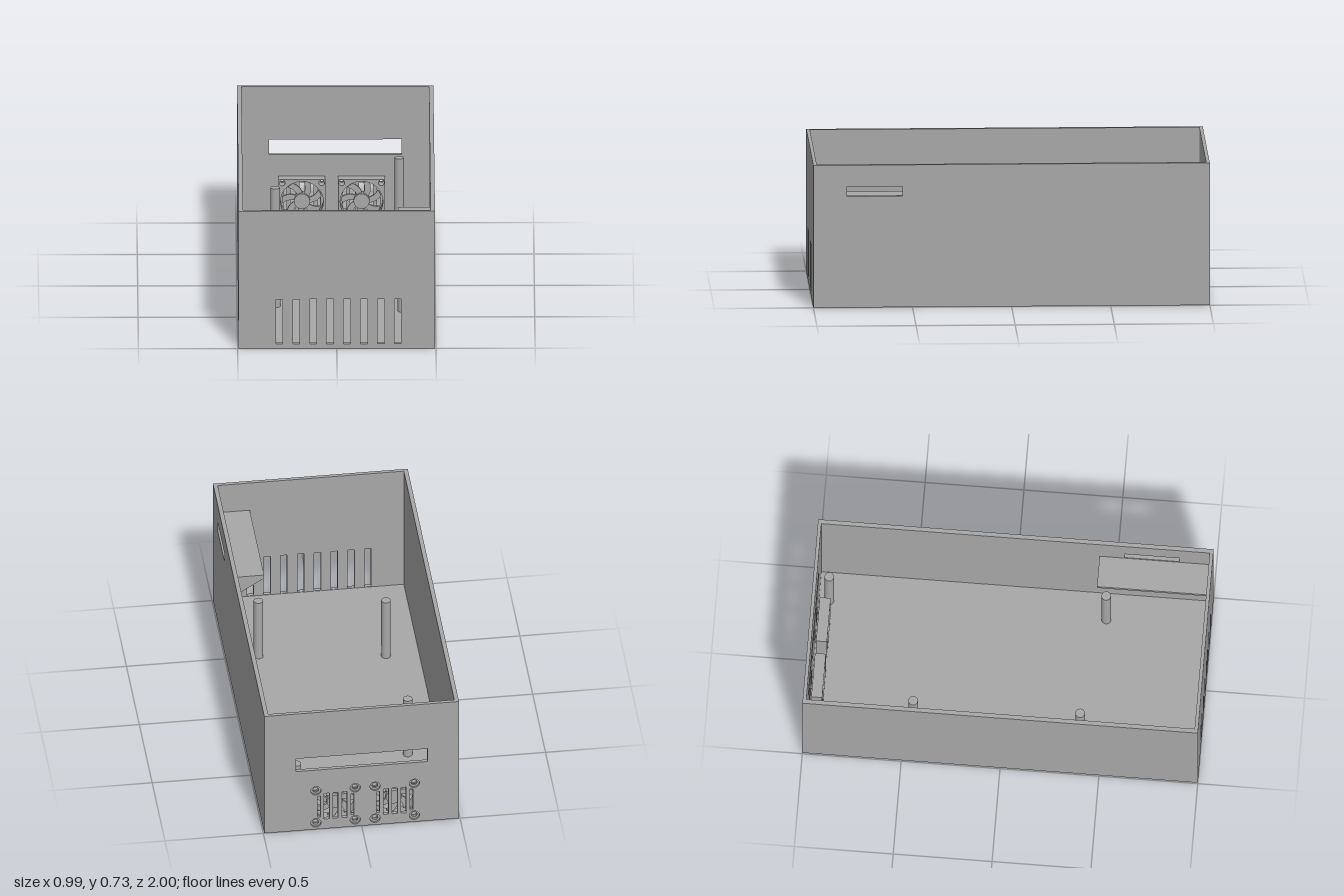
import * as THREE from 'three';

const W = 0.495, L = 1, H = 0.73;        // half width, half length, height
const SIDE = 0.022, END = 0.018, FLOOR = 0.0225;
const FAN_Y = 0.14, FAN_X = [-0.168, 0.1325], FAN_HALF = 0.1175, SCREW = 0.1;

function rect(Type, x0, x1, y0, y1) {
  const s = new Type();
  s.moveTo(x0, y0);
  s.lineTo(x1, y0);
  s.lineTo(x1, y1);
  s.lineTo(x0, y1);
  s.closePath();
  return s;
}
const slot = (x0, x1, y0, y1) => rect(THREE.Path, x0, x1, y0, y1);
const hole = (x, y, r) => new THREE.Path().absarc(x, y, r, 0, Math.PI * 2, true);

function plate(shape, holes, depth) {
  shape.holes.push(...holes);
  return new THREE.ExtrudeGeometry(shape, { depth, bevelEnabled: false, curveSegments: 16 });
}

export function createModel() {
  const model = new THREE.Group();
  const grey = new THREE.MeshStandardMaterial({ color: 0xa8a8a8 });
  grey.name = 'grey plastic';

  function add(name, geometry, x = 0, y = 0, z = 0, parent = model) {
    const mesh = new THREE.Mesh(geometry, grey);
    mesh.name = name;
    mesh.position.set(x, y, z);
    parent.add(mesh);
    return mesh;
  }

  // Floor between the walls
  add('floor', new THREE.BoxGeometry(2 * (W - SIDE), FLOOR, 2 * (L - END)), 0, FLOOR / 2, 0);

  // Side walls run the full length; the left one has a port slot
  const portSlot = slot(0.55, 0.83, 0.57, 0.62);
  const left = add('leftWall', plate(rect(THREE.Shape, -L, L, 0, H), [portSlot], SIDE), W);
  const right = add('rightWall', plate(rect(THREE.Shape, -L, L, 0, H), [], SIDE), -W + SIDE);
  left.rotation.y = right.rotation.y = -Math.PI / 2;

  // Front wall with eight air slots
  const inner = W - SIDE;
  const vents = [];
  for (let i = 0; i < 8; i++) {
    const x = -0.29 + i * 0.0854;
    vents.push(slot(x - 0.017, x + 0.017, 0.025, 0.262));
  }
  add('frontWall', plate(rect(THREE.Shape, -inner, inner, 0, H), vents, END), 0, 0, L - END);

  // Back wall in two layers, so the screw holes are counterbored outside
  function backHoles(screwRadius) {
    const holes = [slot(-0.335, 0.335, 0.37, 0.45)];
    for (const cx of FAN_X) {
      for (const [dx, w, h] of [[-0.085, 0.015, 0.13], [-0.045, 0.026, 0.16], [0, 0.026, 0.16],
        [0.045, 0.026, 0.16], [0.085, 0.015, 0.13]]) {
        holes.push(slot(cx + dx - w / 2, cx + dx + w / 2, FAN_Y - h / 2, FAN_Y + h / 2));
      }
      for (const sx of [-1, 1]) for (const sy of [-1, 1]) {
        holes.push(hole(cx + sx * SCREW, FAN_Y + sy * SCREW, screwRadius));
      }
    }
    return holes;
  }
  const layer = END / 2;
  add('backWallOuter', plate(rect(THREE.Shape, -inner, inner, 0, H), backHoles(0.026), layer), 0, 0, -L);
  add('backWallInner', plate(rect(THREE.Shape, -inner, inner, 0, H), backHoles(0.015), layer), 0, 0, -L + layer);

  // Two fans: square frame, hub and swept blades
  const frameHoles = [hole(0, 0, 0.108)];
  for (const sx of [-1, 1]) for (const sy of [-1, 1]) {
    frameHoles.push(hole(sx * SCREW, sy * SCREW, 0.015));
  }
  const frame = plate(rect(THREE.Shape, -FAN_HALF, FAN_HALF, -FAN_HALF, FAN_HALF), frameHoles, 0.055);
  const hub = new THREE.CylinderGeometry(0.04, 0.04, 0.045, 32).rotateX(Math.PI / 2);
  const bladeShape = new THREE.Shape();
  bladeShape.moveTo(0.036, -0.012);
  bladeShape.quadraticCurveTo(0.075, -0.01, 0.098, 0.025);
  bladeShape.quadraticCurveTo(0.093, 0.042, 0.082, 0.055);
  bladeShape.quadraticCurveTo(0.065, 0.022, 0.034, 0.016);
  bladeShape.closePath();
  const blade = plate(bladeShape, [], 0.012);
  for (const cx of FAN_X) {
    const fan = new THREE.Group();
    fan.name = 'fan';
    fan.position.set(cx, FAN_Y, -0.972);
    add('fanFrame', frame, 0, 0, 0, fan);
    add('fanHub', hub, 0, 0, 0.027, fan);
    for (let i = 0; i < 7; i++) {
      add('fanBlade', blade, 0, 0, 0.022, fan).rotation.z = (i * Math.PI * 2) / 7;
    }
    model.add(fan);
  }

  // Four mounting posts
  const postHeight = 0.37 - FLOOR;
  const post = new THREE.CylinderGeometry(0.024, 0.024, postHeight, 32);
  for (const [x, z] of [[-0.305, -0.455], [-0.305, 0.39], [0.333, 0.47], [0.323, -0.93]]) {
    add('mountingPost', post, x, FLOOR + postHeight / 2, z);
  }

  // Wedge-shaped shelf under the port slot
  const wedge = new THREE.Shape();
  wedge.moveTo(inner, 0.56);
  wedge.lineTo(0.31, 0.56);
  wedge.lineTo(0.31, 0.54);
  wedge.lineTo(inner, 0.435);
  wedge.closePath();
  add('shelf', plate(wedge, [], L - END - 0.425), 0, 0, 0.425);

  return model;
}
